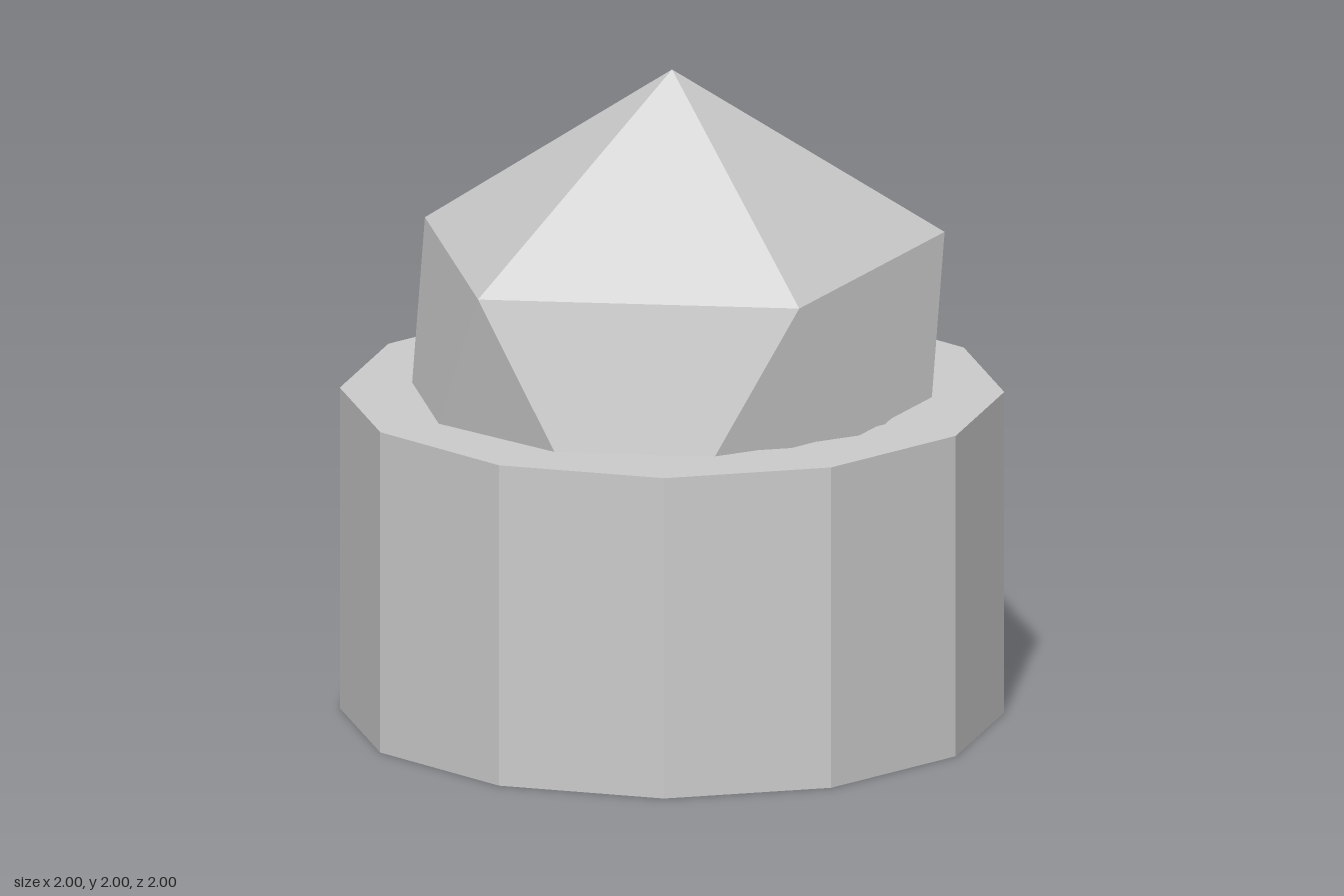
import * as THREE from 'three';

export function createModel() {
  const group = new THREE.Group();
  const material = new THREE.MeshStandardMaterial({ color: 0xcccccc, flatShading: true });

  function add(name, geometry) {
    const mesh = new THREE.Mesh(geometry, material);
    mesh.name = name;
    group.add(mesh);
  }

  // Twelve-sided open ring: closed rectangular profile, outer side running upwards
  const inner = 0.75, outer = 1, height = 1;
  const profile = [[inner, 0], [outer, 0], [outer, height], [inner, height], [inner, 0]]
    .map(([r, y]) => new THREE.Vector2(r, y));
  add('ring', new THREE.LatheGeometry(profile, 12));

  // Faceted gem: icosahedron stood on a vertex, one upper corner to the front,
  // slightly narrowed and set halfway into the ring
  const golden = (1 + Math.sqrt(5)) / 2;
  const gem = new THREE.IcosahedronGeometry(1, 0);
  gem.rotateZ(Math.atan(1 / golden));
  gem.rotateY(Math.PI / 2);
  gem.scale(0.94, 1, 0.894);
  gem.translate(0, 1, 0);
  add('gem', gem);

  return group;
}
